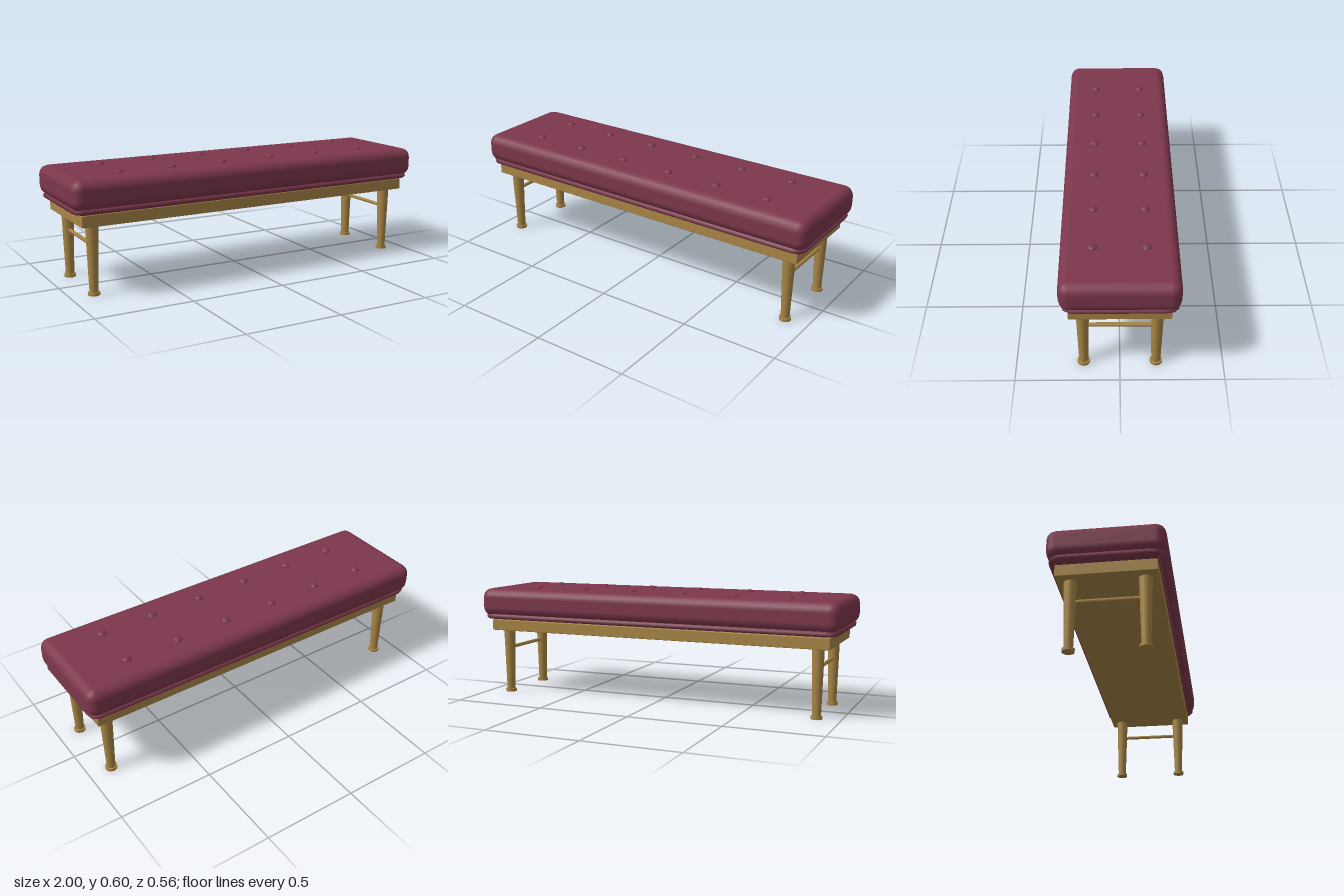
import * as THREE from 'three';
import { RoundedBoxGeometry } from 'three/addons/geometries/RoundedBoxGeometry.js';

export function createModel() {
  const bench = new THREE.Group();
  bench.name = 'bench';
  const fabric = new THREE.MeshStandardMaterial({ name: 'burgundy fabric', color: 0x7c374b });
  const wood = new THREE.MeshStandardMaterial({ name: 'oak wood', color: 0xa88545 });

  function add(name, geometry, material, x = 0, y = 0, z = 0) {
    const mesh = new THREE.Mesh(geometry, material);
    mesh.name = name;
    mesh.position.set(x, y, z);
    bench.add(mesh);
    return mesh;
  }

  // Padded seat with soft edges
  add('cushion', new RoundedBoxGeometry(2, 0.152, 0.56, 2, 0.05), fabric, 0, 0.511, 0);

  // Piping around the lower edge of the cushion
  const path = new THREE.CurvePath();
  const hx = 0.975, hz = 0.256, c = 0.025;
  const loop = [
    [-hx + c, hz], [hx - c, hz], [hx, hz - c], [hx, -hz + c],
    [hx - c, -hz], [-hx + c, -hz], [-hx, -hz + c], [-hx, hz - c],
  ].map(([x, z]) => new THREE.Vector3(x, 0, z));
  loop.forEach((p, i) => path.add(new THREE.LineCurve3(p, loop[(i + 1) % loop.length])));
  add('piping', new THREE.TubeGeometry(path, 160, 0.015, 6, true), fabric, 0, 0.434, 0);

  // Two rows of tufting buttons
  const button = new THREE.SphereGeometry(0.025, 7, 6);
  for (const z of [-0.125, 0.127]) {
    for (let i = 0; i < 6; i++) {
      add('button', button, fabric, -0.717 + i * 0.2865, 0.587, z).scale.y = 0.52;
    }
  }

  // Seat frame
  add('frame', new RoundedBoxGeometry(1.9, 0.059, 0.476, 1, 0.003), wood, 0, 0.3835, 0);

  // Tapered legs with foot caps, and a stretcher at each end
  const leg = new THREE.CylinderGeometry(0.032, 0.022, 0.34, 16);
  const foot = new THREE.CylinderGeometry(0.03, 0.03, 0.015, 16);
  const stretcher = new THREE.CylinderGeometry(0.01, 0.01, 0.31, 8).rotateX(Math.PI / 2);
  for (const x of [-0.88, 0.88]) {
    for (const z of [-0.175, 0.175]) {
      add('leg', leg, wood, x, 0.184, z);
      add('foot', foot, wood, x, 0.0075, z);
    }
    add('stretcher', stretcher, wood, x, 0.252, 0);
  }

  return bench;
}
